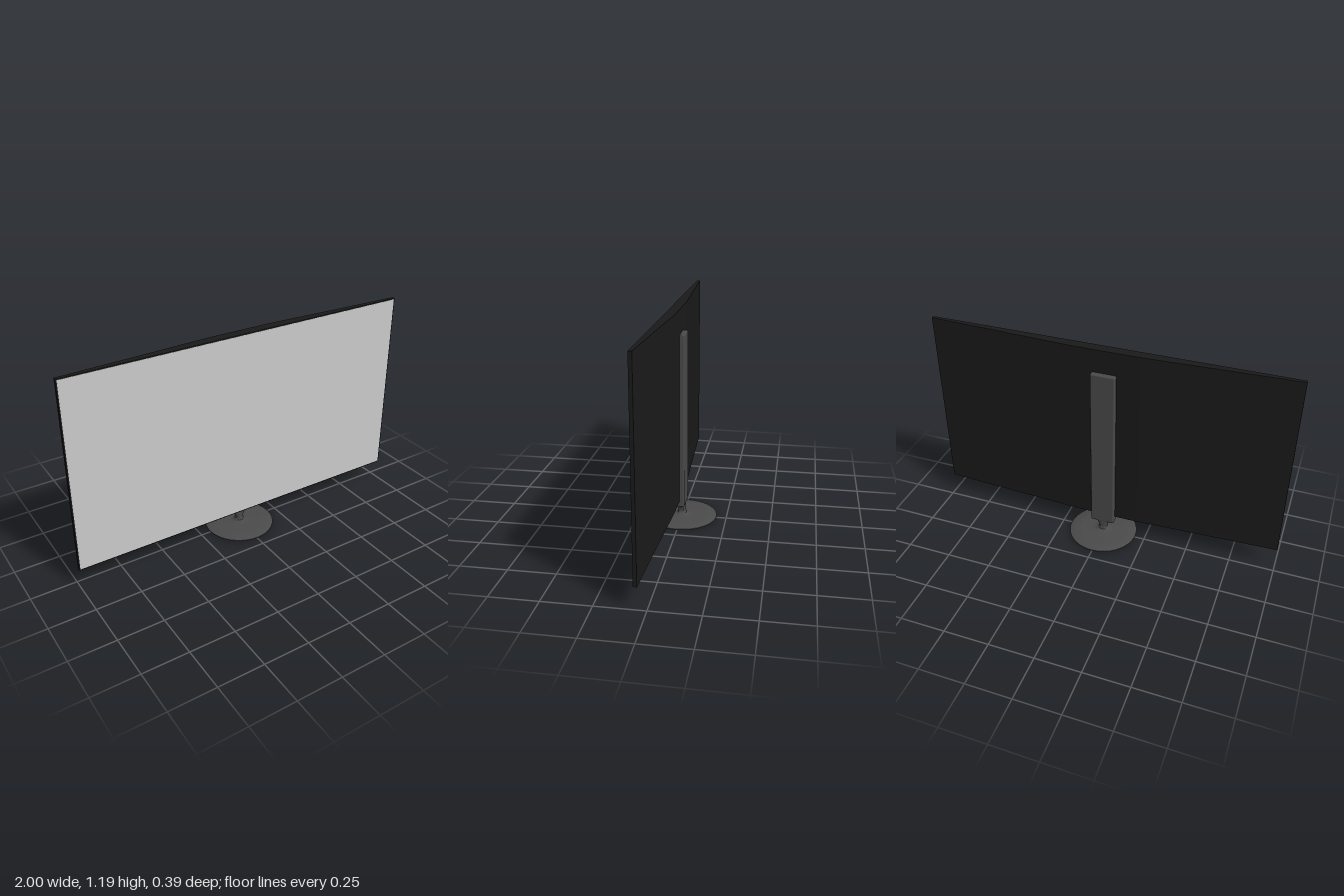
import * as THREE from 'three';
import { RoundedBoxGeometry } from 'three/addons/geometries/RoundedBoxGeometry.js';
import { toCreasedNormals } from 'three/addons/utils/BufferGeometryUtils.js';

const BOTTOM = 0.115, TOP = 1.185, FRONT = 0.062;

export function createModel() {
  const model = new THREE.Group();
  const black = new THREE.MeshStandardMaterial({ color: 0x1a1a1a });
  const darkGrey = new THREE.MeshStandardMaterial({ color: 0x4a4a4a });
  const grey = new THREE.MeshStandardMaterial({ color: 0xcccccc });

  const add = (name, geometry, material, x = 0, y = 0, z = 0) => {
    const mesh = new THREE.Mesh(geometry, material);
    mesh.name = name;
    mesh.position.set(x, y, z);
    model.add(mesh);
    return mesh;
  };

  // Housing: plan outline (x, -z), thick in the middle and tapering to the sides
  const halfBack = [[1, -0.044], [0.6, -0.026], [0.26, -0.009], [0.2, -0.0065], [0.14, -0.005]];
  const plan = new THREE.Shape([
    [-1, -FRONT], [1, -FRONT],
    ...halfBack,
    ...halfBack.map(([x, y]) => [-x, y]).reverse(),
  ].map(([x, y]) => new THREE.Vector2(x, y)));
  const housing = new THREE.ExtrudeGeometry(plan, { depth: TOP - BOTTOM, bevelEnabled: false });
  housing.rotateX(-Math.PI / 2);
  add('housing', toCreasedNormals(housing, 0.3), black, 0, BOTTOM, 0);

  // Screen, leaving a thin black border
  const border = 0.006;
  add('screen', new THREE.BoxGeometry(2 - 2 * border, TOP - BOTTOM - 2 * border, 0.004), grey,
    0, (TOP + BOTTOM) / 2, FRONT - 0.001);

  // Upright column behind the housing
  add('column', new RoundedBoxGeometry(0.136, 0.975, 0.047, 3, 0.008), darkGrey, 0, 0.5675, 0.0015);

  // Round foot sweeping up into the neck
  const profile = [
    [0, 0], [0.19, 0], [0.195, 0.003], [0.195, 0.008], [0.191, 0.011], [0.12, 0.013],
    [0.06, 0.015], [0.04, 0.018], [0.029, 0.025], [0.024, 0.036], [0.024, 0.048],
    [0.029, 0.06], [0.037, 0.072], [0.043, 0.085],
  ].map(([r, y]) => new THREE.Vector2(r, y));
  const stand = new THREE.LatheGeometry(profile, 64);
  // The neck widens sideways only, keeping its depth
  const p = stand.attributes.position;
  for (let i = 0; i < p.count; i++) {
    const y = p.getY(i);
    if (y < 0.02) continue;
    const radius = Math.hypot(p.getX(i), p.getZ(i));
    p.setZ(i, p.getZ(i) * Math.min(1, 0.021 / radius + Math.max(0, (0.036 - y) * 12)));
  }
  add('stand', toCreasedNormals(stand, 0.7), darkGrey);

  return model;
}
